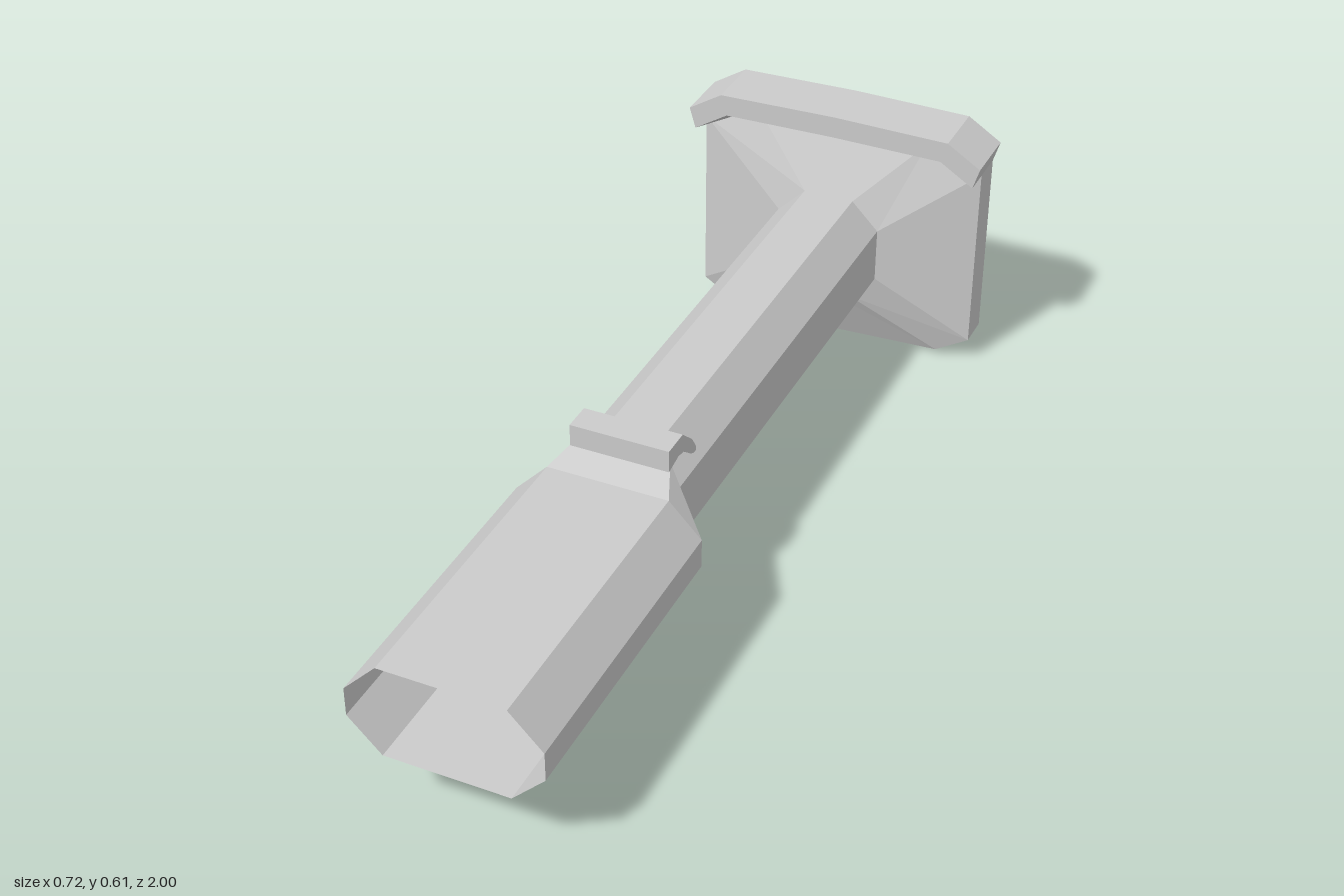
import * as THREE from 'three';

const grey = new THREE.MeshStandardMaterial({ color: 0xcccccc, flatShading: true, side: THREE.DoubleSide });

function addMesh(group, name, geometry) {
  const mesh = new THREE.Mesh(geometry, grey);
  mesh.name = name;
  group.add(mesh);
  return mesh;
}

// Half outline [x, y, z] from one end of the centre line to the other, mirrored to a full ring
function mirror(half) {
  const back = half.slice(1, -1).reverse().map(([x, ...rest]) => [-x, ...rest]);
  return [...half, ...back];
}

// Skin between rings of equal point count, open at both ends
function loft(rings) {
  const n = rings[0].length;
  const index = [];
  for (let k = 0; k < rings.length - 1; k++) {
    for (let i = 0; i < n; i++) {
      const j = (i + 1) % n;
      const a = k * n + i, b = k * n + j, c = a + n, d = b + n;
      index.push(a, b, c, b, d, c);
    }
  }
  const geometry = new THREE.BufferGeometry();
  geometry.setAttribute('position', new THREE.Float32BufferAttribute(rings.flat(2), 3));
  geometry.setIndex(index);
  const flat = geometry.toNonIndexed();
  flat.computeVertexNormals();
  return flat;
}

function extrude(points, depth) {
  const shape = new THREE.Shape(points.map(([x, y]) => new THREE.Vector2(x, y)));
  return new THREE.ExtrudeGeometry(shape, { depth, bevelEnabled: false });
}

const at = (half, z) => mirror(half.map(([x, y]) => [x, y, z]));

export function createModel() {
  const model = new THREE.Group();
  model.name = 'flangedTube';

  // Wide open socket, stepped neck, narrow shaft and flare to the plate
  const socket = [[0, 0.365], [0.135, 0.365], [0.207, 0.29], [0.207, 0.225], [0.135, 0.152], [0, 0.152]];
  const shaft = [[0, 0.41], [0.06, 0.41], [0.125, 0.345], [0.125, 0.215], [0.06, 0.152], [0, 0.152]];
  const flare = [[0, 0.563], [0.21, 0.559], [0.345, 0.51], [0.345, 0.06], [0.265, 0.012], [0, 0.002]];
  const neck = mirror(shaft.map(([x, y]) => [x, y, y > 0.4 ? 0.2 : 0.26]));
  addMesh(model, 'tube', loft([at(socket, 1), at(socket, 0.325), neck, at(shaft, -0.85)]));
  addMesh(model, 'flare', loft([at(shaft, -0.85), at(flare, -0.92)]));

  // End plate
  const plate = mirror([[0, 0.002], [0.265, 0.012], [0.345, 0.06], [0.345, 0.51], [0.36, 0.56], [0.28, 0.61], [0, 0.615]]);
  addMesh(model, 'endPlate', extrude(plate, 0.08)).position.z = -1;

  // Overhanging lip along the top of the plate; its underside spreads towards the plate
  const lip = [
    [-0.345, 0.51], [-0.265, 0.56], [0, 0.563], [0.265, 0.56], [0.345, 0.51],
    [0.36, 0.56], [0.28, 0.61], [0, 0.615], [-0.28, 0.61], [-0.36, 0.56],
  ];
  const lipGeometry = extrude(lip, 0.065);
  const p = lipGeometry.attributes.position;
  for (let i = 0; i < p.count; i++) {
    if (p.getZ(i) < 0.01 && Math.abs(Math.abs(p.getX(i)) - 0.265) < 0.001) {
      p.setX(i, Math.sign(p.getX(i)) * 0.21);
    }
  }
  lipGeometry.computeVertexNormals();
  addMesh(model, 'plateLip', lipGeometry).position.z = -0.92;

  // Catch on top of the neck, profile in z and y
  const catchProfile = [
    [0.27, 0.39], [0.27, 0.44], [0.205, 0.44], [0.16, 0.4], [0.14, 0.37], [0.14, 0.355],
    [0.165, 0.367], [0.2, 0.395], [0.225, 0.4],
  ];
  const catchGeometry = extrude(catchProfile, 0.22);
  catchGeometry.translate(0, 0, -0.11);
  addMesh(model, 'catch', catchGeometry).rotation.y = -Math.PI / 2;

  // Ramp from the socket up to the catch
  const ramp = new THREE.PlaneGeometry(1, 1);
  [[-0.11, 0.391, 0.265], [0.11, 0.391, 0.265], [-0.135, 0.365, 0.325], [0.135, 0.365, 0.325]]
    .forEach((v, i) => ramp.attributes.position.setXYZ(i, ...v));
  ramp.computeVertexNormals();
  addMesh(model, 'catchRamp', ramp);

  return model;
}
